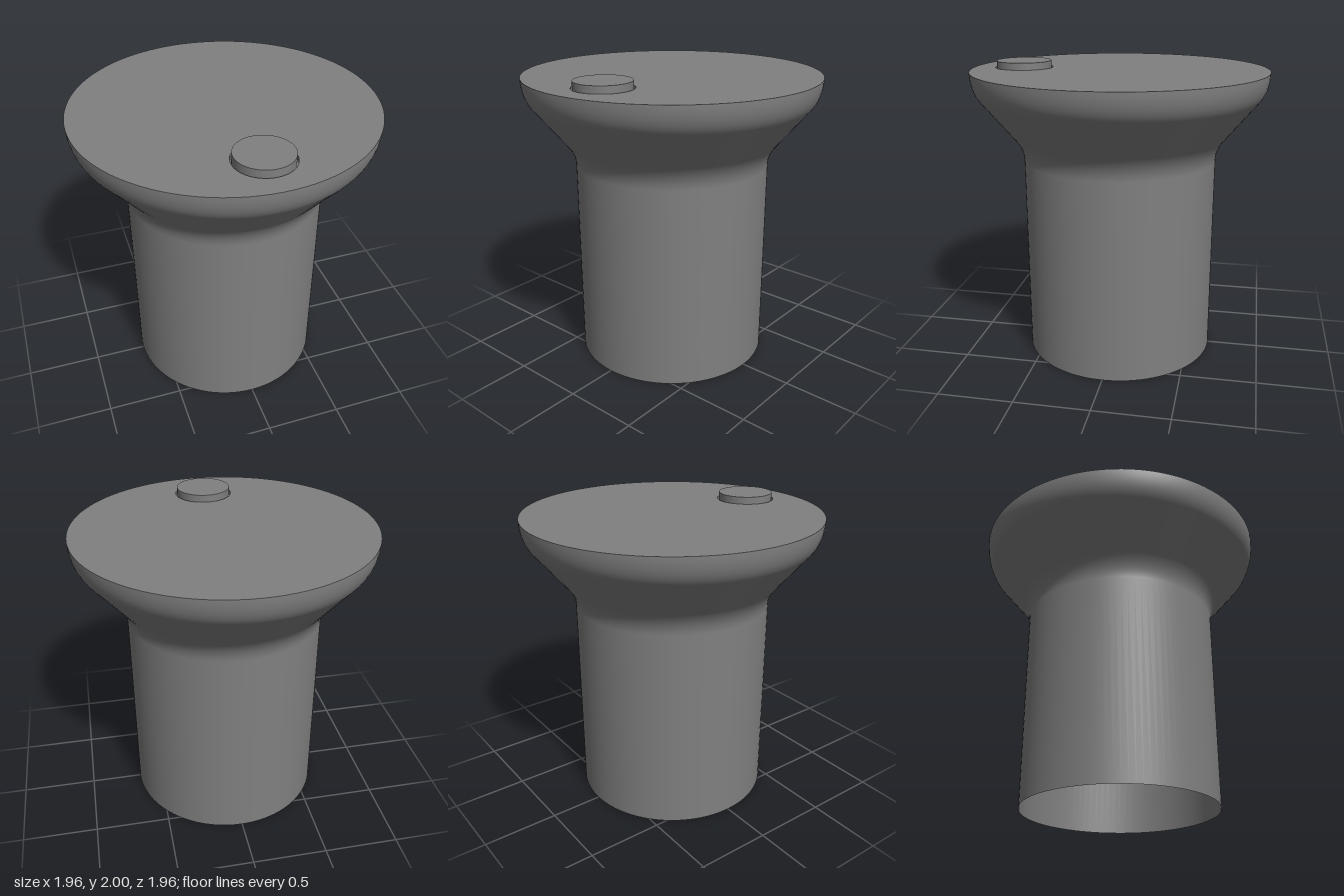
import * as THREE from 'three';

const SEGMENTS = 96;
const TOP = 1.955;
const SOCKET_DEPTH = 0.025;
const BUTTON = { x: 0.02, z: 0.65, radius: 0.182, socket: 0.192 };

function addMesh(group, name, geometry) {
  const material = new THREE.MeshStandardMaterial({ color: 0x808080, side: THREE.DoubleSide });
  const mesh = new THREE.Mesh(geometry, material);
  mesh.name = name;
  group.add(mesh);
  return mesh;
}

export function createModel() {
  const model = new THREE.Group();

  // Open-bottomed stem flaring smoothly into the wide head
  const path = new THREE.Path();
  path.moveTo(0.65, 0);
  path.lineTo(0.65, 1.36);
  path.quadraticCurveTo(0.65, 1.44, 0.71, 1.515);
  path.lineTo(0.925, 1.775);
  path.quadraticCurveTo(0.98, 1.84, 0.98, TOP);
  addMesh(model, 'flaredBody', new THREE.LatheGeometry(path.getPoints(14), SEGMENTS));

  // Flat top with a round socket for the button
  const disc = new THREE.Shape().absarc(0, 0, 0.98, 0, Math.PI * 2);
  disc.holes.push(new THREE.Path().absarc(BUTTON.x, -BUTTON.z, BUTTON.socket, 0, Math.PI * 2, true));
  const topGeometry = new THREE.ShapeGeometry(disc, 48);
  topGeometry.rotateX(-Math.PI / 2);
  addMesh(model, 'topPlate', topGeometry).position.y = TOP;

  // Shallow socket with the raised button standing in it
  const button = new THREE.Group();
  button.name = 'button';
  button.position.set(BUTTON.x, TOP - SOCKET_DEPTH, BUTTON.z);
  const floor = new THREE.CircleGeometry(BUTTON.socket, SEGMENTS).rotateX(-Math.PI / 2);
  addMesh(button, 'socketFloor', floor);
  const wall = new THREE.CylinderGeometry(BUTTON.socket, BUTTON.socket, SOCKET_DEPTH, SEGMENTS, 1, true);
  addMesh(button, 'socketWall', wall).position.y = SOCKET_DEPTH / 2;
  const height = 2 - TOP + SOCKET_DEPTH;
  const cap = new THREE.CylinderGeometry(BUTTON.radius, BUTTON.radius, height, SEGMENTS, 1, true);
  addMesh(button, 'buttonSide', cap).position.y = height / 2;
  const face = new THREE.CircleGeometry(BUTTON.radius, SEGMENTS).rotateX(-Math.PI / 2);
  addMesh(button, 'buttonFace', face).position.y = height;
  model.add(button);

  return model;
}
